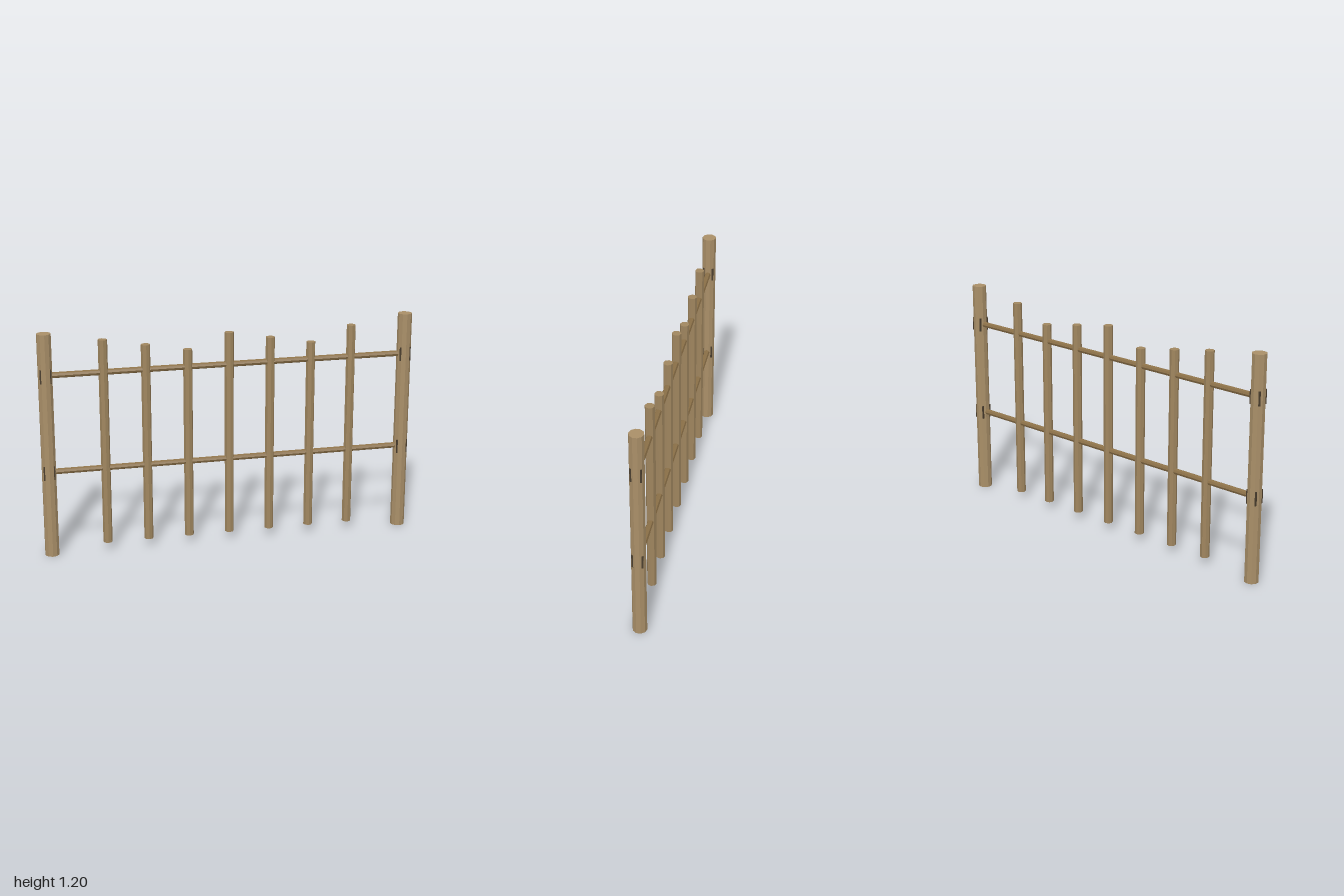
import * as THREE from 'three';

const wood = (color) => new THREE.MeshStandardMaterial({ color, flatShading: true });

export function createModel() {
  const fence = new THREE.Group();
  fence.name = 'fence';
  const postWood = wood(0xa98f68);
  const picketWood = wood(0xa0865f);
  const railWood = wood(0x8c7148);
  const jointDark = wood(0x4a3e2e);

  const add = (name, geometry, material, x, y) => {
    const mesh = new THREE.Mesh(geometry, material);
    mesh.name = name;
    mesh.position.set(x, y, 0);
    fence.add(mesh);
    return mesh;
  };

  const postX = 0.9625;
  const railHeights = [0.463, 0.983];

  // End posts, with square joint blocks whose corners just break the surface
  for (const side of [-1, 1]) {
    const label = side > 0 ? 'left' : 'right';
    add(label + 'Post', new THREE.CylinderGeometry(0.0378, 0.0378, 1.203, 10), postWood, side * postX, 0.6015);
    for (const y of railHeights) {
      add(label + 'Joint', new THREE.BoxGeometry(0.059, 0.075, 0.059), jointDark, side * postX, y);
    }
  }

  // Horizontal rails
  for (const y of railHeights) {
    add('rail', new THREE.CylinderGeometry(0.016, 0.016, 1.9, 8), railWood, 0, y).rotation.z = Math.PI / 2;
  }

  // Round pickets, tops stepping down in a repeating group of three
  const base = 0.045;
  for (let i = 0; i < 7; i++) {
    const height = 1.11 - 0.039 * (i % 3);
    add('picket', new THREE.CylinderGeometry(0.0245, 0.0245, height, 8), picketWood, (i - 3) * 0.2213, base + height / 2);
  }
  return fence;
}
